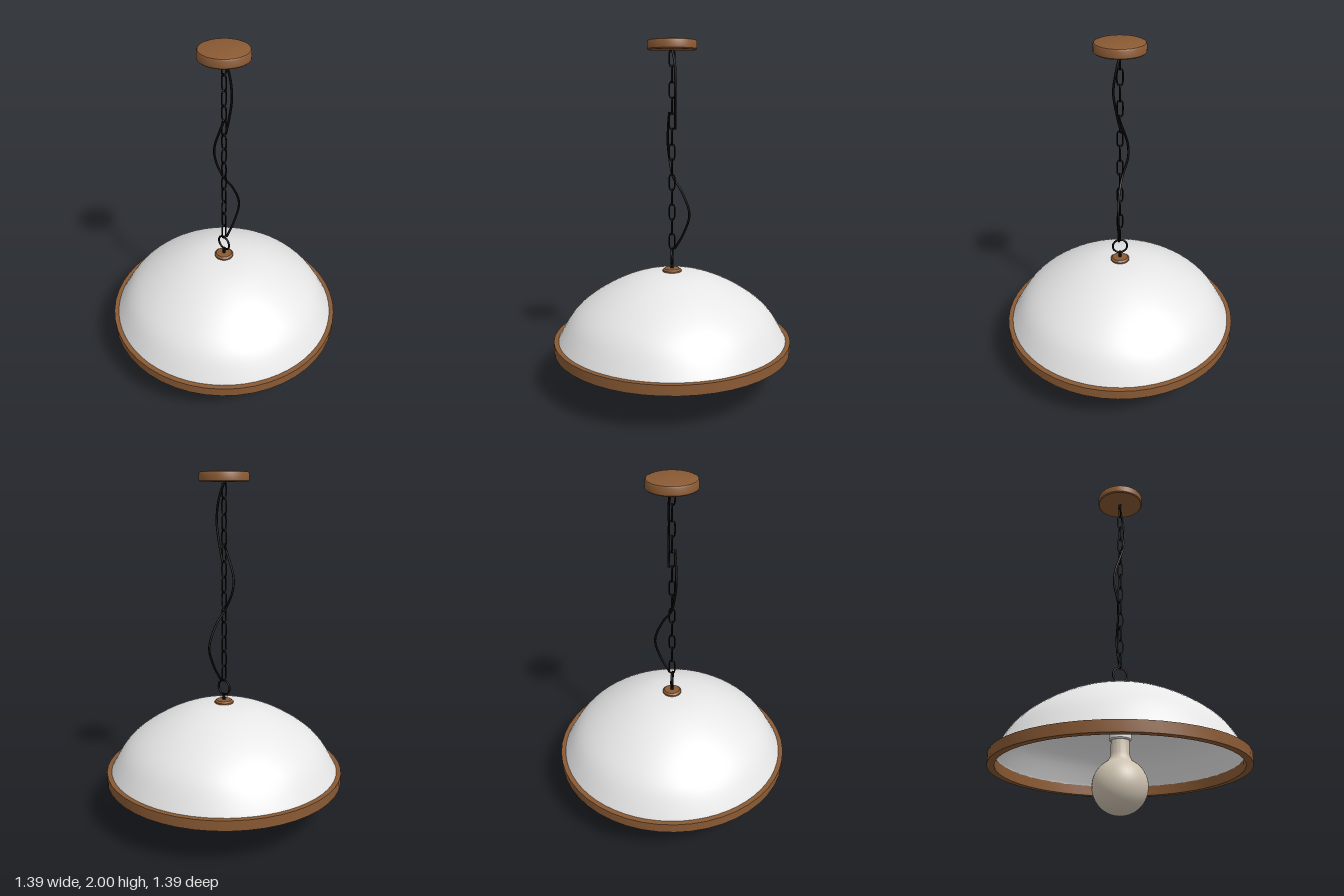
import * as THREE from 'three';
import { toCreasedNormals } from 'three/addons/utils/BufferGeometryUtils.js';

const mat = (name, color) => {
  const m = new THREE.MeshStandardMaterial({ color });
  m.name = name;
  return m;
};

export function createModel() {
  const white = mat('white enamel', 0xe6e6e6);
  const wood = mat('brown wood', 0x8a5a34);
  const black = mat('black metal', 0x080808);
  const glass = mat('warm bulb glass', 0xcdc2b0);

  const model = new THREE.Group();
  model.name = 'pendantLamp';

  const add = (name, geometry, material, parent = model) => {
    const mesh = new THREE.Mesh(geometry, material);
    mesh.name = name;
    parent.add(mesh);
    return mesh;
  };
  // Profiles run up the outside, as [radius, y]
  const lathe = (points, segments = 48, crease = 0.6) => toCreasedNormals(
    new THREE.LatheGeometry(points.map(([r, y]) => new THREE.Vector2(r, y)), segments), crease);
  const tube = (points, radius, closed = false, steps = 80) => new THREE.TubeGeometry(
    new THREE.CatmullRomCurve3(points.map(p => new THREE.Vector3(...p)), closed), steps, radius, 8, closed);

  // Ceiling canopy
  add('canopy', lathe([[0, 1.945], [0.132, 1.945], [0.138, 1.951], [0.138, 1.987],
    [0.133, 1.996], [0.122, 2], [0, 2]]), wood);

  // Shade: a thin dome with an outer and an inner skin
  const outer = new THREE.SplineCurve([[0.675, 0.27], [0.665, 0.30], [0.585, 0.43], [0.48, 0.525],
    [0.33, 0.613], [0.17, 0.671], [0, 0.69]].map(p => new THREE.Vector2(...p)))
    .getPoints(28).map(p => [Math.max(p.x, 0), p.y]);
  outer[outer.length - 1] = [0, 0.69];
  const inner = outer.map(([r, y]) => [r * 0.982, y - 0.01 * (1 - r / 0.7)]).reverse();
  add('shade', lathe([...outer, ...inner], 64), white);

  // Wooden rim band
  add('rim', lathe([[0.657, 0.235], [0.696, 0.235], [0.696, 0.293], [0.657, 0.293], [0.657, 0.235]], 48), wood);

  // Top cap, stem and hanging ring
  add('topCap', lathe([[0, 0.68], [0.055, 0.68], [0.055, 0.694], [0.045, 0.703], [0, 0.705]], 32), wood);
  add('stem', new THREE.CylinderGeometry(0.009, 0.009, 0.04, 12), black).position.y = 0.72;
  add('hangingRing', new THREE.TorusGeometry(0.043, 0.006, 8, 32), black).position.y = 0.778;

  // Chain: oval links turned a quarter at each step
  const chain = new THREE.Group();
  chain.name = 'chain';
  model.add(chain);
  const oval = [];
  for (let i = 0; i < 12; i++) {
    const a = i / 12 * Math.PI * 2;
    oval.push([0.016 * Math.cos(a), 0.03 * Math.sin(a) + 0.018 * Math.sign(Math.round(Math.sin(a) * 10)), 0]);
  }
  const linkGeometry = tube(oval, 0.0042, true, 32);
  for (let i = 0; i < 13; i++) {
    const link = add('chainLink', linkGeometry, black, chain);
    link.position.y = 0.865 + i * 0.0863;
    link.rotation.y = i % 2 ? 0 : Math.PI / 2;
  }

  // Power cord winding around the chain
  add('upperCord', tube([[-0.005, 1.95, 0], [0.02, 1.86, -0.018], [0.037, 1.74, -0.02],
    [0.02, 1.62, -0.02], [-0.005, 1.51, -0.018]], 0.0065), black);
  add('lowerCord', tube([[0.015, 1.61, 0.014], [-0.01, 1.54, 0.022], [-0.045, 1.43, 0.028],
    [-0.048, 1.35, 0.02], [-0.012, 1.24, -0.005], [0.01, 1.16, -0.055], [0.021, 1.03, -0.101],
    [0.017, 0.92, -0.07], [0.008, 0.82, -0.015]], 0.0065), black);

  // Socket under the dome
  add('socket', lathe([[0, 0.395], [0.055, 0.395], [0.061, 0.402], [0.061, 0.683], [0, 0.683]], 32), white);

  // Bulb with a neck rising into the socket
  const bulb = [];
  for (let i = 0; i <= 20; i++) {
    const a = -Math.PI / 2 + i / 20 * (Math.PI / 2 + 1.08);
    bulb.push([i ? 0.15 * Math.cos(a) : 0, 0.15 + 0.15 * Math.sin(a)]);
  }
  bulb.push([0.057, 0.30], [0.051, 0.325], [0.05, 0.41], [0, 0.41]);
  add('bulb', lathe(bulb, 40), glass);

  return model;
}
